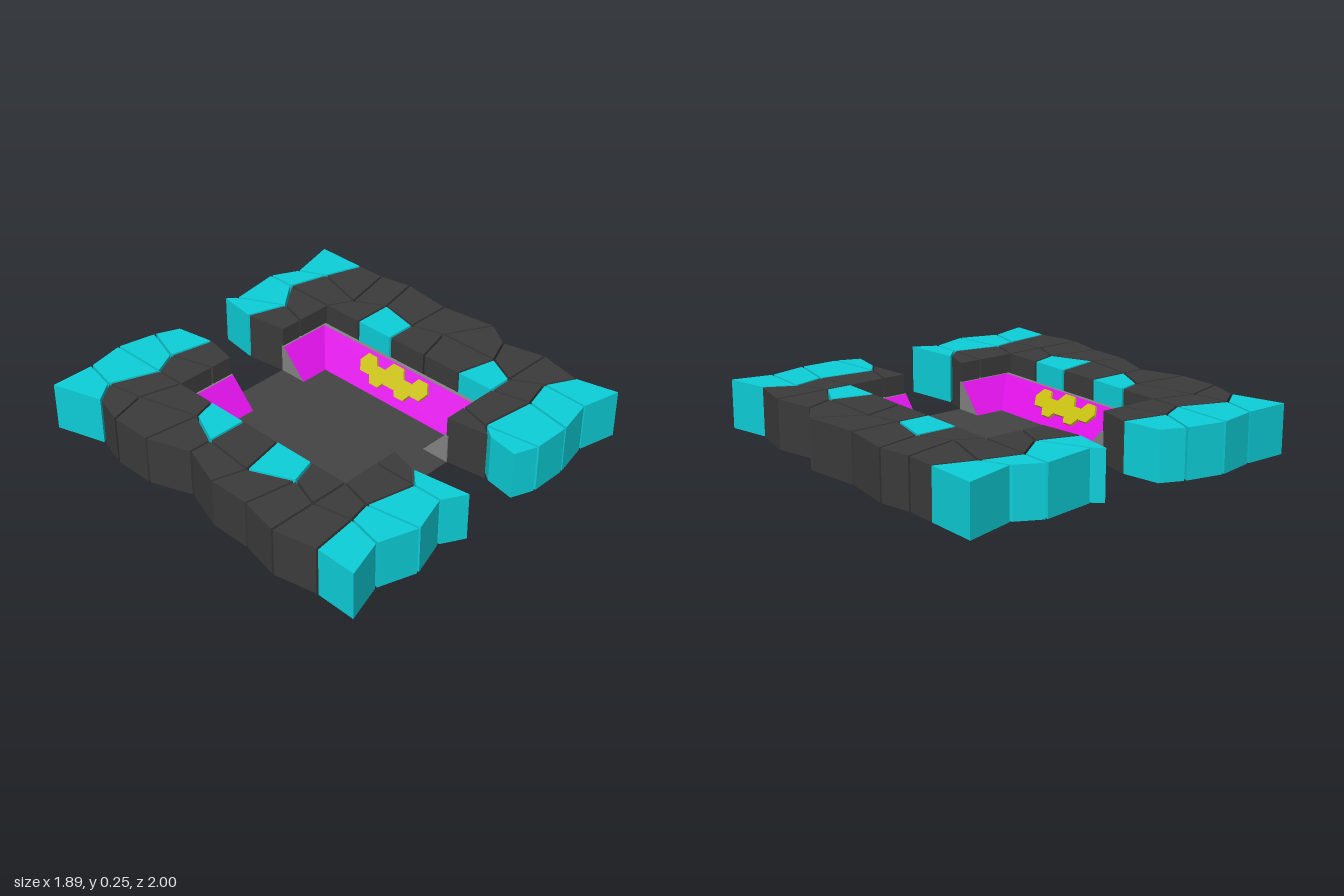
import * as THREE from 'three';

const WALL_H = 0.25, RAMP_H = 0.15, GAP = 0.006;
const mat = (color, extra = {}) => new THREE.MeshStandardMaterial({ color, ...extra });
const dark = mat(0x3c3c3c), cyan = mat(0x0dd0da), grey = mat(0x858585);
const magenta = mat(0xdd11e6), yellow = mat(0xc8c010, { flatShading: true }), floorMat = mat(0x444444);

// Regular stone grid: columns run from the outer edge inward, rows from back to front
const COLS = [0.905, 0.7, 0.5, 0.3, 0.18];
const ROWS = [-0.535, -0.315, -0.095, 0.13, 0.35, 0.56];

function addMesh(parent, name, geometry, material) {
  const mesh = new THREE.Mesh(geometry, material);
  mesh.name = name;
  parent.add(mesh);
  return mesh;
}

// Upright prism over a ground outline of [x, z] points
function prism(points, height) {
  const shape = new THREE.Shape(points.map(([x, z]) => new THREE.Vector2(x, -z)));
  return new THREE.ExtrudeGeometry(shape, { depth: height, bevelEnabled: false }).rotateX(-Math.PI / 2);
}

// Moves each edge of an outline inward by its own distance
function inset(points, dist) {
  const n = points.length;
  const normals = points.map(([x, z], i) => {
    const [x2, z2] = points[(i + 1) % n], len = Math.hypot(x2 - x, z2 - z);
    return [-(z2 - z) / len, (x2 - x) / len];
  });
  return points.map(([x, z], i) => {
    const p = (i + n - 1) % n, [ax, az] = normals[p], [bx, bz] = normals[i];
    const det = ax * bz - az * bx;
    if (Math.abs(det) < 0.15) return [x + bx * dist[i], z + bz * dist[i]];
    return [x + (dist[p] * bz - dist[i] * az) / det, z + (ax * dist[i] - bx * dist[p]) / det];
  });
}

// Wall of one side: a side run two stones wide, with a two-row wing at each end
function buildWall(root, s, { outerX, outerShift, midX, midShift, backRim, backMid, frontMid, frontRim, accents }) {
  const row = (zs, xs = COLS) => xs.map((x, i) => [s * x, zs[i]]);
  const side = ROWS.map((z, r) => [[s * outerX[r], z + outerShift[r]], [s * midX[r], z + midShift[r]], [s * COLS[2], z]]);
  const seam = (r) => [...side[r], ...COLS.slice(3).map((x) => [s * x, ROWS[r]])];
  const runs = [
    { name: 'BackWing', rows: [row(...backRim), row(...backMid), seam(0)], isCyan: (r) => r === 0 },
    { name: 'SideRun', rows: side, isCyan: (r, c) => c === 1 && accents.includes(r) },
    { name: 'FrontWing', rows: [seam(5), row(...frontMid), row(...frontRim)], isCyan: (r) => r === 1 },
  ];

  const stones = [], uses = {};
  for (const { name, rows, isCyan } of runs) {
    const group = new THREE.Group();
    group.name = (s > 0 ? 'left' : 'right') + name;
    root.add(group);
    for (let r = 0; r < rows.length - 1; r++) for (let c = 0; c < rows[r].length - 1; c++) {
      const pts = [rows[r][c], rows[r][c + 1], rows[r + 1][c + 1], rows[r + 1][c]];
      if (s > 0) pts.reverse();
      const keys = pts.map((p, i) => [p.join(), pts[(i + 1) % 4].join()].sort().join('|'));
      keys.forEach((k) => { uses[k] = (uses[k] || 0) + 1; });
      stones.push({ group, pts, keys, material: isCyan(r, c) ? cyan : dark });
    }
  }
  // A narrow joint along every edge shared by two stones
  for (const { group, pts, keys, material } of stones) {
    const outline = inset(pts, keys.map((k) => (uses[k] > 1 ? GAP : 0)));
    addMesh(group, 'stone', prism(outline, WALL_H), material);
  }
}

function quadGeometry(quads, flip) {
  const pos = [];
  for (const q of quads) {
    const [a, b, c, d] = flip ? [...q].reverse() : q;
    pos.push(...a, ...b, ...c, ...a, ...c, ...d);
  }
  const g = new THREE.BufferGeometry();
  g.setAttribute('position', new THREE.Float32BufferAttribute(pos, 3));
  g.computeVertexNormals();
  return g;
}

// C-shaped bank along one side: outer wall, thin lip, inward slope
function buildBank(root, s) {
  const ring = (x, z0, z1, y) => [[0.175, z0], [x, z0], [x, z1], [0.175, z1]].map(([px, pz]) => [s * px, y, pz]);
  const rings = [
    ring(0.485, -0.54, 0.57, 0), ring(0.485, -0.54, 0.57, RAMP_H),
    ring(0.465, -0.525, 0.55, RAMP_H), ring(0.33, -0.385, 0.42, 0),
  ];
  const slope = [], body = [];
  for (let j = 0; j < 4; j++) for (let i = 0; i < 3; i++) {
    const next = rings[(j + 1) % 4];
    (j === 2 ? slope : body).push([rings[j][i], next[i], next[i + 1], rings[j][i + 1]]);
  }
  body.push(rings.map((r) => r[0]).reverse(), rings.map((r) => r[3]));
  const group = new THREE.Group();
  group.name = s > 0 ? 'leftBank' : 'rightBank';
  root.add(group);
  addMesh(group, 'bankBody', quadGeometry(body, s < 0), grey);
  addMesh(group, 'bankSlope', quadGeometry(slope, s < 0), magenta);

  // Staggered hexagonal plates lying on the slope, the middle one larger
  for (let i = -2; i <= 2; i++) {
    const x = i % 2 ? 0.395 : 0.42, radius = i ? 0.056 : 0.068;
    const plate = addMesh(group, 'hexPlate', new THREE.CylinderGeometry(radius, radius, 0.03, 6), yellow);
    plate.position.set(s * x, (x - 0.33) / 0.135 * RAMP_H, 0.012 + 0.084 * i);
    plate.rotation.z = s * Math.atan2(RAMP_H, 0.135);
  }
}

export function createModel() {
  const root = new THREE.Group();
  root.name = 'walledArena';

  // Wing rows are [z of each corner, x of each corner where it leaves the grid]
  buildWall(root, -1, {
    outerX: [0.9, 0.9, 0.82, 0.9, 0.9, 0.945], outerShift: [0, 0, 0, 0, 0, 0],
    midX: [0.705, 0.62, 0.705, 0.735, 0.64, 0.7], midShift: [-0.055, 0.035, 0, 0.05, 0.045, 0],
    backRim: [[-0.96, -0.96, -1, -0.96, -0.91], [0.93, 0.7, 0.5, 0.3, 0.18]],
    backMid: [[-0.7, -0.78, -0.69, -0.755, -0.71], [0.85, 0.74, 0.5, 0.37, 0.145]],
    frontMid: [[0.785, 0.755, 0.73, 0.785, 0.705], [0.9, 0.66, 0.545, 0.3, 0.22]],
    frontRim: [[1, 0.935, 1, 0.935, 1]],
    accents: [1, 3],
  });
  buildWall(root, 1, {
    outerX: [0.905, 0.94, 0.905, 0.945, 0.855, 0.905], outerShift: [0, -0.05, 0, 0.07, -0.01, 0],
    midX: [0.625, 0.71, 0.66, 0.71, 0.71, 0.63], midShift: [0.065, 0, 0, -0.055, 0.05, 0],
    backRim: [[-0.96, -0.89, -0.96, -0.92, -0.96], [0.905, 0.645, 0.505, 0.23, 0.18]],
    backMid: [[-0.69, -0.755, -0.81, -0.69, -0.755], [0.905, 0.71, 0.505, 0.35, 0.15]],
    frontMid: [[0.785, 0.71, 0.755, 0.72, 0.785], [0.855, 0.71, 0.545, 0.26, 0.21]],
    frontRim: [[1, 0.955, 1, 1, 0.955]],
    accents: [1, 4],
  });
  for (const s of [-1, 1]) buildBank(root, s);

  // Thin floor, running out through the openings at front and back
  const half = [[0.175, -0.54], [0.175, -0.385], [0.33, -0.385], [0.33, 0.42], [0.175, 0.42], [0.175, 0.57]];
  const floor = [...half, ...half.map(([x, z]) => [-x, z]).reverse()];
  addMesh(root, 'floor', prism(floor, 0.003), floorMat);
  return root;
}
